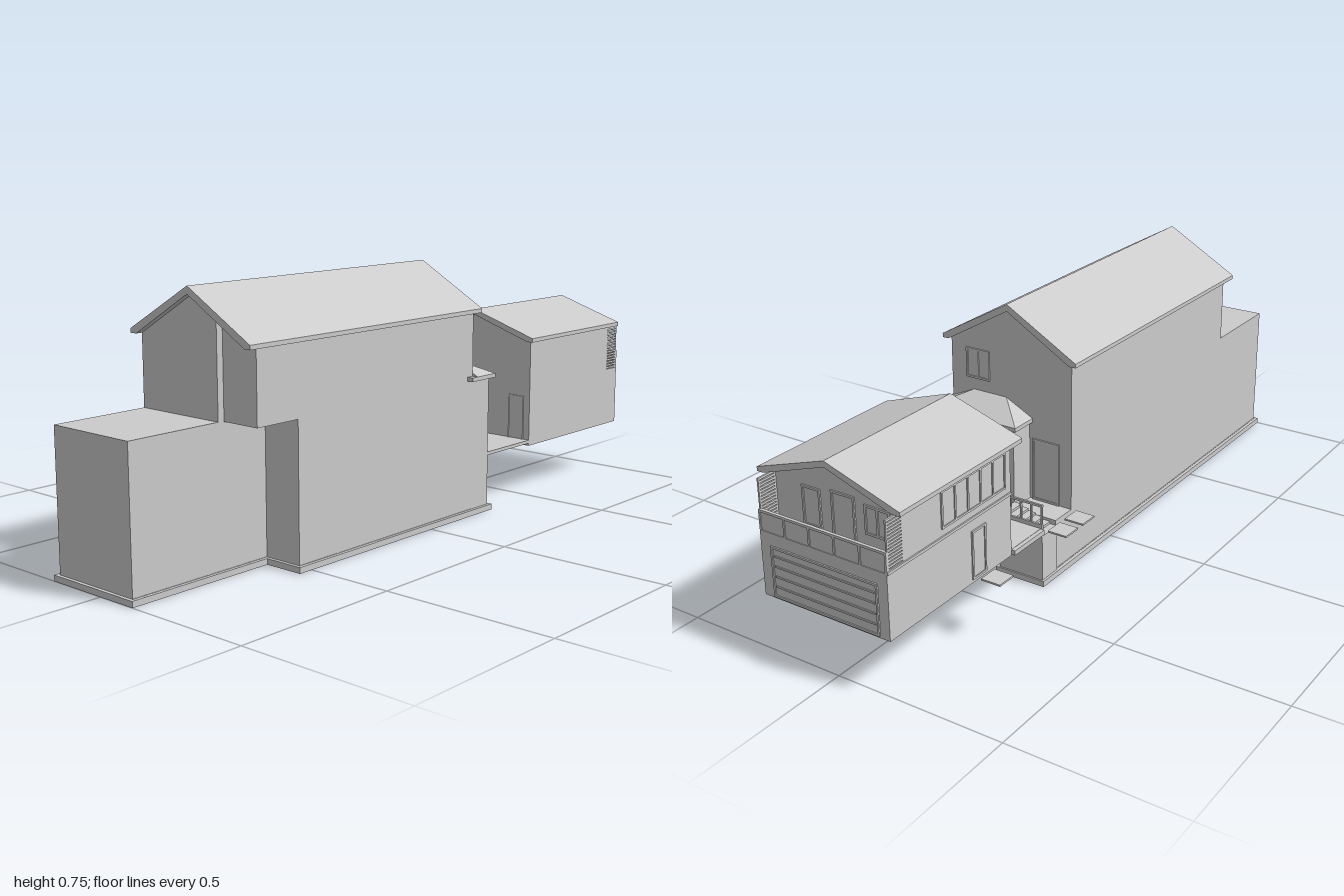
import * as THREE from 'three';
import { ConvexGeometry } from 'three/addons/geometries/ConvexGeometry.js';

const mat = new THREE.MeshStandardMaterial({ color: 0xcccccc, flatShading: true, side: THREE.DoubleSide });
const XL = -0.175, XR = 0.232, RIDGE = 0.028;

function add(parent, name, geometry) {
  const m = new THREE.Mesh(geometry, mat);
  m.name = name;
  parent.add(m);
  return m;
}
// box given by its limits
function box(parent, name, x0, x1, y0, y1, z0, z1) {
  const g = new THREE.BoxGeometry(x1 - x0, y1 - y0, z1 - z0);
  g.translate((x0 + x1) / 2, (y0 + y1) / 2, (z0 + z1) / 2);
  return add(parent, name, g);
}
const outline = pts => new THREE.Shape(pts.map(p => new THREE.Vector2(...p)));
// x-y profile extruded from z0 to z1
function profile(parent, name, pts, z0, z1) {
  const g = new THREE.ExtrudeGeometry(outline(pts), { depth: z1 - z0, bevelEnabled: false });
  return add(parent, name, g.translate(0, 0, z0));
}
// x-z footprint with an optional hole, extruded from y0 to y1
function plan(parent, name, pts, hole, y0, y1) {
  const flip = p => [p[0], -p[1]];
  const s = outline(pts.map(flip));
  if (hole) s.holes.push(outline(hole.map(flip)));
  const g = new THREE.ExtrudeGeometry(s, { depth: y1 - y0, bevelEnabled: false });
  return add(parent, name, g.rotateX(-Math.PI / 2).translate(0, y0, 0));
}
// gable roof with flat-bottomed eaves
function gableRoof(parent, name, xl, xr, eaveLow, eaveTop, ridge, under, z0, z1) {
  return profile(parent, name, [[xl, eaveLow], [XL, eaveLow], [RIDGE, under], [XR, eaveLow],
    [xr, eaveLow], [xr, eaveTop], [RIDGE, ridge], [xl, eaveTop]], z0, z1);
}
// framed opening with evenly spaced panes; horizontal axis u is 'x' or 'z', out is the outward sign
function opening(parent, name, u, u0, u1, y0, y1, at, out, panes = 1) {
  const g = new THREE.Group();
  g.name = name;
  parent.add(g);
  const t = 0.006;
  const bar = (n, a, b, c, d, depth) => {
    const lo = Math.min(at, at + out * depth), hi = Math.max(at, at + out * depth);
    if (u === 'x') box(g, n, a, b, c, d, lo, hi);
    else box(g, n, lo, hi, c, d, a, b);
  };
  bar('pane', u0, u1, y0, y1, 0.001);
  bar('sill', u0, u1, y0, y0 + t, 0.004);
  bar('head', u0, u1, y1 - t, y1, 0.004);
  for (let i = 0; i <= panes; i++) {
    const c = u0 + t / 2 + (u1 - u0 - t) * i / panes;
    bar('mullion', c - t / 2, c + t / 2, y0 + t, y1 - t, 0.004);
  }
}

function mainHouse() {
  const g = new THREE.Group();
  g.name = 'mainHouse';
  // footing ring with a recessed floor
  const foot = d => [[-0.187 + d, 1 - d], [0.123 - d, 1 - d], [0.123 - d, 0.545 - d], [0.243 - d, 0.545 - d],
    [0.243 - d, -0.29 + d], [-0.025 - d, -0.29 + d], [-0.025 - d, -0.36 + d], [-0.187 + d, -0.36 + d]];
  plan(g, 'footing', foot(0), foot(0.025), 0, 0.017);
  plan(g, 'groundFloor', foot(0.01), null, 0.01, 0.018);
  // lower storey
  box(g, 'frontWing', XL, 0.112, 0.017, 0.408, 0.535, 0.99);
  box(g, 'lowerStorey', XL, XR, 0.017, 0.406, -0.2, 0.535);
  box(g, 'rearBay', -0.035, XR, 0.017, 0.41, -0.28, -0.2);
  box(g, 'terrace', XL, -0.035, 0.017, 0.17, -0.28, -0.2);
  // upper storey, stepped back a little on one side
  profile(g, 'upperStorey', [[XL, 0.406], [0.112, 0.406], [0.112, 0.679], [RIDGE, 0.727], [XL, 0.61]], -0.2, 0.7);
  profile(g, 'upperStoreySide', [[0.112, 0.406], [XR, 0.406], [XR, 0.61], [0.112, 0.679]], -0.2, 0.68);
  gableRoof(g, 'mainRoof', -0.197, 0.252, 0.608, 0.62, 0.748, 0.727, -0.215, 0.72);
  // hipped roof over the rear bay
  box(g, 'bayEave', -0.045, 0.252, 0.408, 0.42, -0.285, -0.199);
  box(g, 'bayEaveReturn', XR, 0.252, 0.408, 0.42, -0.199, -0.175);
  add(g, 'bayRoof', new ConvexGeometry([[-0.045, 0.42, -0.285], [0.252, 0.42, -0.285], [0.252, 0.42, -0.199],
    [-0.045, 0.42, -0.199], [0.045, 0.465, -0.199], [0.155, 0.465, -0.199]].map(p => new THREE.Vector3(...p))));
  // rear openings
  opening(g, 'upperWindow', 'x', 0.10, 0.18, 0.5, 0.59, -0.2, -1, 2);
  opening(g, 'terraceDoor', 'x', -0.135, -0.045, 0.17, 0.36, -0.2, -1, 1);
  opening(g, 'bayDoors', 'x', 0.09, 0.185, 0.18, 0.34, -0.28, -1, 2);
  // window well
  box(g, 'wellSide', 0.045, 0.05, 0.12, 0.187, -0.335, -0.28);
  box(g, 'wellSide', 0.165, 0.17, 0.12, 0.187, -0.335, -0.28);
  box(g, 'wellBack', 0.045, 0.17, 0.12, 0.187, -0.34, -0.335);
  return g;
}

function rearSteps() {
  const g = new THREE.Group();
  g.name = 'rearSteps';
  box(g, 'stairBlock', -0.18, -0.035, 0.017, 0.15, -0.355, -0.28);
  for (let i = 0; i < 6; i++) {
    const x = -0.18 + i * 0.024;
    box(g, 'step', x, x + 0.025, 0.15, 0.155 + i * 0.007, -0.35, -0.28);
  }
  // parapet and rail
  box(g, 'parapet', -0.18, -0.035, 0.15, 0.19, -0.355, -0.349);
  box(g, 'handrail', -0.18, -0.01, 0.243, 0.25, -0.355, -0.349);
  for (let i = 0; i < 5; i++) {
    const x = -0.18 + i * 0.0345;
    box(g, 'railPost', x, x + 0.005, 0.178, 0.245, -0.355, -0.35);
  }
  box(g, 'sideRail', -0.015, -0.01, 0.178, 0.25, -0.355, -0.28);
  return g;
}

function garage() {
  const g = new THREE.Group();
  g.name = 'garage';
  box(g, 'garageBase', XL, XR, 0.16, 0.345, -1, -0.495);
  profile(g, 'garageUpper', [[XL, 0.345], [XR, 0.345], [XR, 0.49], [RIDGE, 0.558], [XL, 0.49]], -0.935, -0.495);
  gableRoof(g, 'garageRoof', -0.2, 0.252, 0.49, 0.502, 0.575, 0.558, -0.972, -0.475);
  // roller door
  opening(g, 'rollerDoorFrame', 'x', -0.145, 0.198, 0.165, 0.31, -1, -1);
  for (let i = 1; i < 5; i++) box(g, 'rollerDoorRib', -0.135, 0.188, 0.165 + i * 0.029, 0.17 + i * 0.029, -1.003, -1);
  // balcony
  box(g, 'balconyPanel', XL, XR, 0.345, 0.395, -0.998, -0.993);
  box(g, 'balconyRail', XL, XR, 0.395, 0.402, -1, -0.991);
  for (let i = 0; i < 6; i++) {
    const x = XL + i * (XR - XL - 0.006) / 5;
    box(g, 'balconyPost', x, x + 0.006, 0.345, 0.4, -1, -0.99);
  }
  opening(g, 'balconyWindow', 'x', 0.08, 0.14, 0.36, 0.47, -0.935, -1);
  opening(g, 'balconyDoor', 'x', -0.03, 0.045, 0.345, 0.48, -0.935, -1);
  opening(g, 'balconyWindow', 'x', -0.14, -0.06, 0.39, 0.47, -0.935, -1, 2);
  // slatted screens at both ends
  for (const x of [XL, XR - 0.005]) {
    for (const z of [-0.995, -0.94]) box(g, 'screenPost', x, x + 0.005, 0.345, 0.485, z, z + 0.005);
    for (let i = 0; i < 16; i++) {
      const y = 0.347 + i * 0.0088;
      box(g, 'screenSlat', x, x + 0.005, y, y + 0.006, -0.995, -0.935);
    }
  }
  // side windows, side door and front door
  opening(g, 'sideWindows', 'z', -0.79, -0.52, 0.37, 0.475, XL, -1, 5);
  opening(g, 'sideDoor', 'z', -0.67, -0.61, 0.17, 0.31, XL, -1);
  box(g, 'sideBand', XL - 0.004, XL, 0.342, 0.35, -1, -0.495);
  opening(g, 'frontDoor', 'x', 0.15, 0.21, 0.172, 0.315, -0.495, 1);
  return g;
}

export function createModel() {
  const model = new THREE.Group();
  model.name = 'houseWithGarage';
  model.add(mainHouse(), rearSteps(), garage());
  // courtyard deck joining the two buildings, open above the window well
  plan(model, 'courtyardDeck', [[XL, -0.495], [XR, -0.495], [XR, -0.28], [-0.035, -0.28], [-0.035, -0.355], [XL, -0.355]],
    [[0.05, -0.335], [0.165, -0.335], [0.165, -0.29], [0.05, -0.29]], 0.168, 0.178);
  box(model, 'deckEdge', XL - 0.012, XL, 0.163, 0.177, -0.495, -0.355);
  // landing slabs along the side
  for (const z of [-0.66, -0.35, -0.265]) box(model, 'landingSlab', -0.255, -0.195, 0.17, 0.175, z, z + 0.06);
  return model;
}
